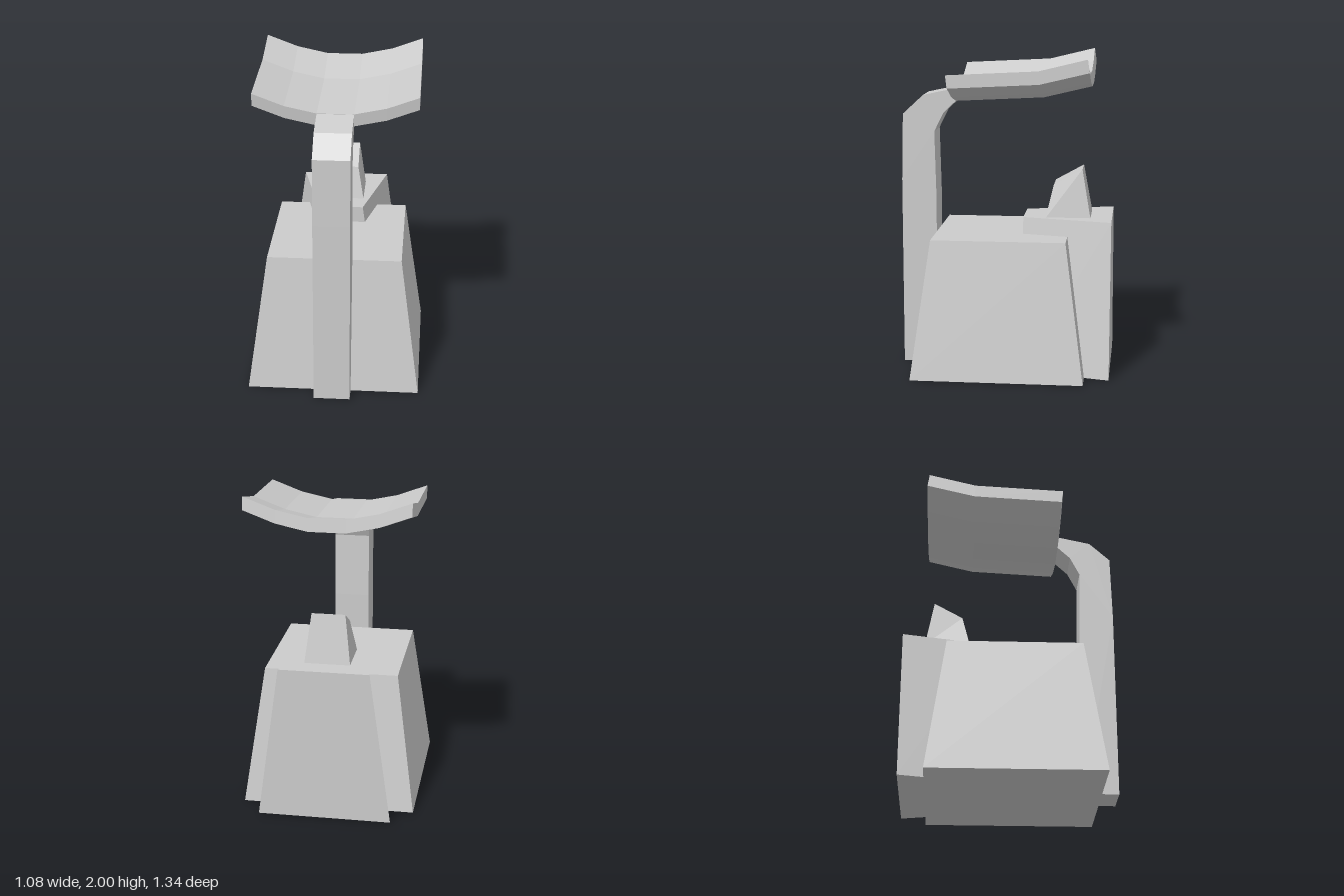
import * as THREE from 'three';

const material = new THREE.MeshStandardMaterial({ color: 0xcccccc, flatShading: true });

function addPart(group, name, geometry) {
  const flat = geometry.index ? geometry.toNonIndexed() : geometry;
  flat.computeVertexNormals();
  const mesh = new THREE.Mesh(flat, material);
  mesh.name = name;
  group.add(mesh);
}

// Unit box whose vertices are moved by rule(u, v, w) => [x, y, z], with u, v, w in 0..1
function warpedBox(rule, nx = 1, ny = 1, nz = 1) {
  const geometry = new THREE.BoxGeometry(1, 1, 1, nx, ny, nz);
  const p = geometry.attributes.position;
  for (let i = 0; i < p.count; i++) {
    p.setXYZ(i, ...rule(p.getX(i) + 0.5, p.getY(i) + 0.5, p.getZ(i) + 0.5));
  }
  return geometry;
}

const mix = THREE.MathUtils.lerp;

export function createModel() {
  const group = new THREE.Group();

  // Tapered main body
  addPart(group, 'base', warpedBox((u, v, w) => [
    (2 * u - 1) * mix(0.54, 0.418, v),
    0.87 * v,
    mix(mix(-0.515, -0.395, v), mix(0.565, 0.445, v), w),
  ]));

  // Wedge-shaped block at the back, narrowing upward and toward the front
  addPart(group, 'backBlock', warpedBox((u, v, w) => [
    (2 * u - 1) * (mix(0.415, 0.28, v) - 0.135 * w),
    0.975 * v,
    mix(-0.67, -0.11, w),
  ]));

  // Knob with a sloping top
  addPart(group, 'knob', warpedBox((u, v, w) => [
    (2 * u - 1) * mix(0.142, 0.104, v),
    mix(0.97, mix(1.28, 1.18, w), v),
    mix(mix(-0.535, -0.48, v), mix(-0.25, -0.3, v), w),
  ]));

  // Upright post bending back under the canopy: [z, y] outline
  const outline = [
    [0.45, 0], [0.67, 0], [0.67, 1.2], [0.66, 1.62], [0.53, 1.74], [0.33, 1.783],
    [0.32, 1.706], [0.4, 1.63], [0.46, 1.51], [0.45, 1.1],
  ];
  const halfWidth = 0.113;
  const post = new THREE.ExtrudeGeometry(
    new THREE.Shape(outline.map(([z, y]) => new THREE.Vector2(z, y))),
    { depth: 2 * halfWidth, bevelEnabled: false },
  );
  post.rotateY(-Math.PI / 2).translate(halfWidth, 0, 0);
  addPart(group, 'post', post);

  // Canopy curved up at both sides and toward the back
  const across = [[0.113, 0], [0.31, 0.042], [0.505, 0.115]]; // half width, rise
  const along = [[-0.537, 1.805], [-0.235, 1.733], [0.32, 1.705]]; // z, underside height
  const lean = [0.012, 0.006, 0.01]; // z shift of the upper surface
  addPart(group, 'canopy', warpedBox((u, v, w) => {
    const side = Math.round(u * 5) - 2.5;
    const [x, rise] = across[Math.abs(side) - 0.5];
    const k = Math.round(w * 2);
    const [z, y] = along[k];
    return [Math.sign(side) * x, y + rise + 0.08 * v, z + lean[k] * v];
  }, 5, 1, 2));

  return group;
}
